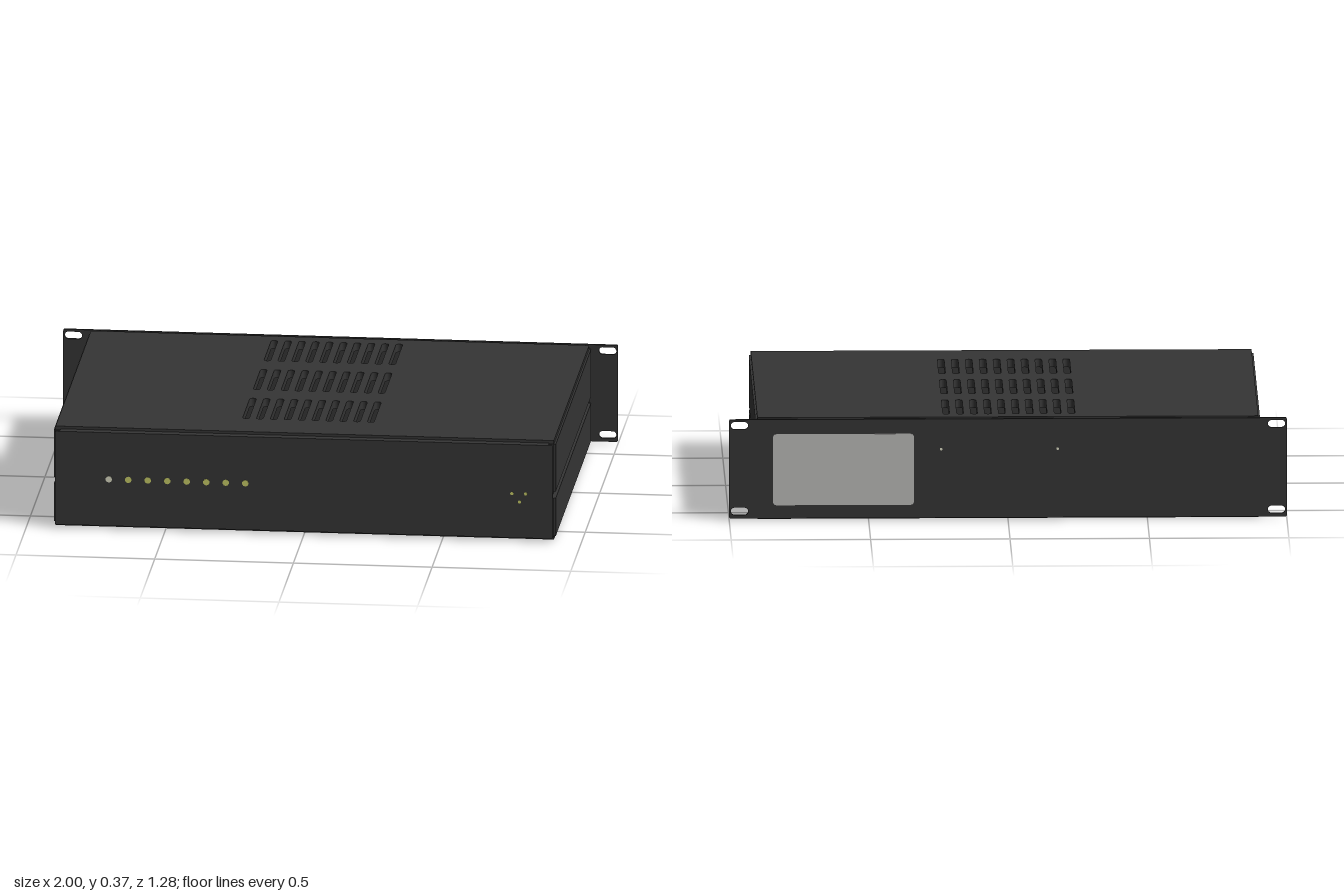
import * as THREE from 'three';

// Rounded rectangle outline centred on (x, y), usable as a shape or a hole
function roundRect(Kind, x, y, w, h, r) {
  const s = new Kind();
  const l = x - w / 2, b = y - h / 2, R = l + w, t = b + h;
  s.moveTo(l + r, b);
  s.lineTo(R - r, b);
  s.absarc(R - r, b + r, r, -Math.PI / 2, 0, false);
  s.lineTo(R, t - r);
  s.absarc(R - r, t - r, r, 0, Math.PI / 2, false);
  s.lineTo(l + r, t);
  s.absarc(l + r, t - r, r, Math.PI / 2, Math.PI, false);
  s.lineTo(l, b + r);
  s.absarc(l + r, b + r, r, Math.PI, Math.PI * 1.5, false);
  return s;
}

function extrude(shape, depth) {
  return new THREE.ExtrudeGeometry(shape, { depth, bevelEnabled: false, curveSegments: 6 });
}

export function createModel() {
  const model = new THREE.Group();
  model.name = 'rackUnit';

  const material = (name, color) => {
    const m = new THREE.MeshStandardMaterial({ color });
    m.name = name;
    return m;
  };
  const metal = material('darkMetal', 0x353535);
  const yellow = material('indicatorYellow', 0xc8cc68);
  const pale = material('paleLight', 0xdcdcc4);
  const grey = material('lightGrey', 0xbcbbb9);

  const add = (name, geometry, mat = metal) => {
    const mesh = new THREE.Mesh(geometry, mat);
    mesh.name = name;
    model.add(mesh);
    return mesh;
  };
  // Box given by its limits on each axis
  const box = (name, x0, x1, y0, y1, z0, z1, mat) => {
    const mesh = add(name, new THREE.BoxGeometry(x1 - x0, y1 - y0, z1 - z0), mat);
    mesh.position.set((x0 + x1) / 2, (y0 + y1) / 2, (z0 + z1) / 2);
    return mesh;
  };

  const zBack = -0.615, zFront = 0.605, top = 0.37;

  // Lid with three banks of ventilation slots
  const lidShape = roundRect(THREE.Shape, 0, (zBack + zFront) / -2, 1.78, zFront - zBack, 0.001);
  for (const z of [0.31, -0.06, -0.43]) {
    for (let i = 0; i < 10; i++) {
      lidShape.holes.push(roundRect(THREE.Path, -0.23 + i * 0.05, -z, 0.024, 0.26, 0.0115));
    }
  }
  const lid = add('ventedLid', extrude(lidShape, 0.03));
  lid.rotation.x = -Math.PI / 2;
  lid.position.y = top - 0.03;

  // Floor
  box('floor', -0.89, 0.89, 0, 0.015, zBack, zFront);

  // Side rails: one profile with a long groove and stepped edges, mirrored
  for (const s of [1, -1]) {
    const pts = [[0.87, 0], [0.898, 0], [0.898, 0.014], [0.905, 0.014], [0.905, 0.155],
      [0.89, 0.155], [0.89, 0.18], [0.905, 0.18], [0.905, 0.356], [0.898, 0.356],
      [0.898, top], [0.87, top]];
    const profile = new THREE.Shape(pts.map(([x, y]) => new THREE.Vector2(s * x, y)));
    const rail = add(s > 0 ? 'leftSideRail' : 'rightSideRail', extrude(profile, zFront - zBack));
    rail.position.z = zBack;

    // Flanges at both ends, split by the groove gap
    for (const [y0, y1] of [[0.015, 0.155], [0.18, 0.357]]) {
      const [x0, x1] = s > 0 ? [0.88, 0.897] : [-0.897, -0.88];
      box('frontFlange', x0, x1, y0, y1, zFront, 0.625);
      box('backFlange', x0, x1, y0, y1, -0.632, zBack);
    }
  }

  // Upper and lower lips joining the end panels to the case
  for (const [y0, y1] of [[0.012, 0.022], [0.35, 0.36]]) {
    box('frontLip', -0.88, 0.88, y0, y1, zFront, 0.625);
    box('backLip', -0.88, 0.88, y0, y1, -0.632, zBack);
  }

  // Front panel
  const front = add('frontPanel', extrude(roundRect(THREE.Shape, 0, 0.187, 1.794, 0.348, 0.004), 0.015));
  front.position.z = 0.625;

  // Wide mounting plate with slotted ears
  const plateShape = roundRect(THREE.Shape, 0, 0.1875, 2, 0.361, 0.006);
  for (const x of [-0.963, 0.963]) {
    for (const y of [0.033, 0.346]) {
      plateShape.holes.push(roundRect(THREE.Path, x, y, 0.062, 0.027, 0.013));
    }
  }
  const plate = add('mountingPlate', extrude(plateShape, 0.01));
  plate.position.z = -0.642;

  // Display window on the mounting plate
  const screen = add('displayWindow', extrude(roundRect(THREE.Shape, 0.59, 0.185, 0.505, 0.26, 0.012), 0.002), grey);
  screen.position.z = -0.6435;

  // Small round lights: facing front (+1) or back (-1)
  const dot = (name, x, y, r, mat, dir) => {
    const d = add(name, new THREE.CylinderGeometry(r, r, 0.003, 10), mat);
    d.rotation.x = Math.PI / 2;
    d.position.set(x, y, dir > 0 ? 0.64 : -0.642);
  };
  for (let i = 0; i < 8; i++) {
    dot('indicatorLight', -0.703 + i * 0.0703, 0.187, 0.012, i ? yellow : pale, 1);
  }
  for (const [x, y] of [[0.75, 0.178], [0.8, 0.178], [0.778, 0.147]]) {
    dot('sidePinLight', x, y, 0.006, yellow, 1);
  }
  for (const x of [0.24, -0.178]) dot('backPinLight', x, 0.258, 0.005, pale, -1);

  return model;
}
